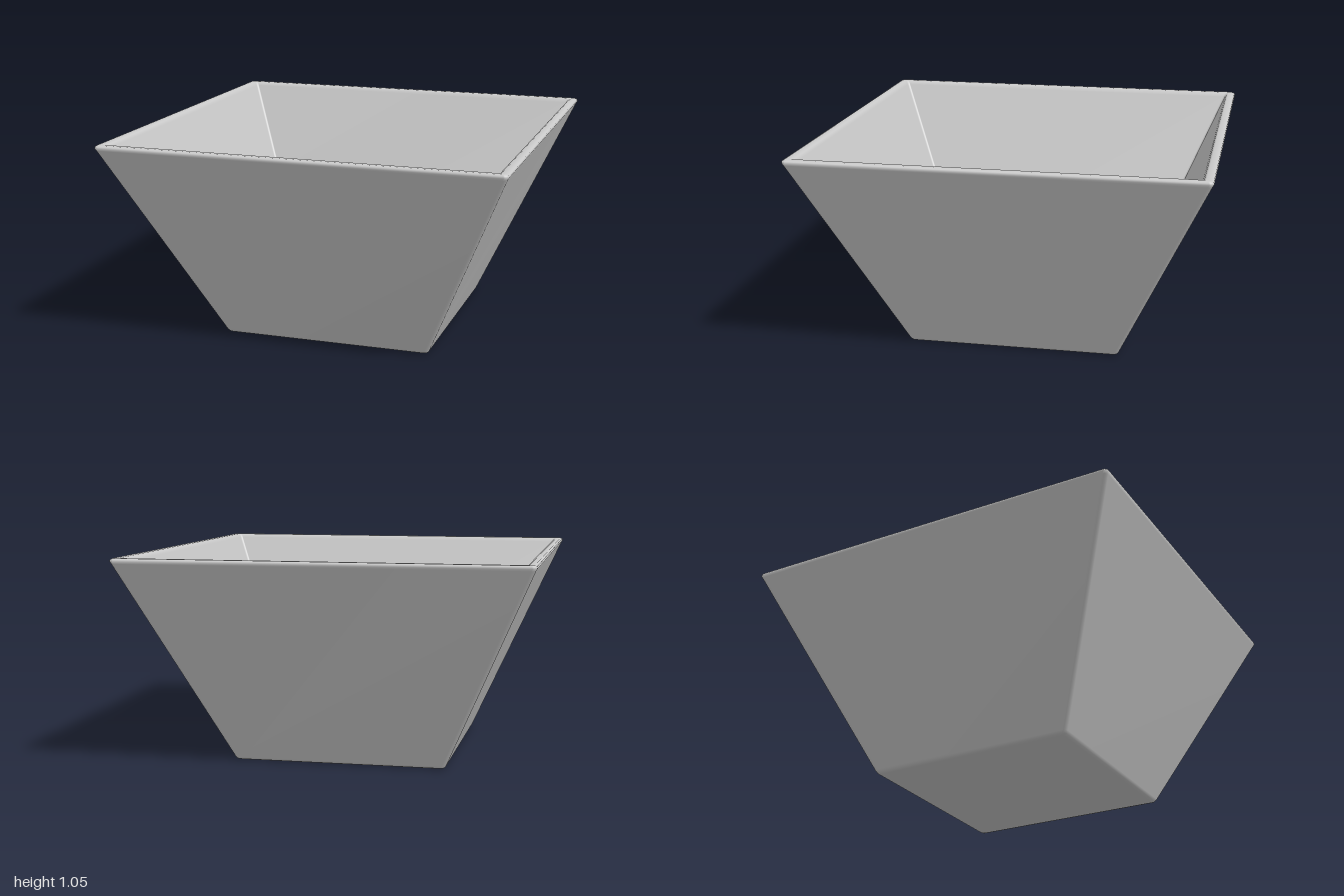
import * as THREE from 'three';

const CORNER_STEPS = 5;

// One square cross-section with rounded corners, as a loop of points
function squareRing(half, y, radius) {
  const r = Math.min(radius, half);
  const points = [];
  for (let corner = 0; corner < 4; corner++) {
    const mid = Math.PI / 4 + corner * Math.PI / 2;
    const cx = Math.sign(Math.cos(mid)) * (half - r);
    const cz = Math.sign(Math.sin(mid)) * (half - r);
    for (let k = 0; k < CORNER_STEPS; k++) {
      const a = (corner + k / (CORNER_STEPS - 1)) * Math.PI / 2;
      points.push(cx + r * Math.cos(a), y, cz + r * Math.sin(a));
    }
  }
  return points;
}

// Skin a run of square cross-sections into one smooth surface
function loftSquares(profile) {
  const n = 4 * CORNER_STEPS;
  const positions = profile.flatMap(([half, y, r]) => squareRing(half, y, r));
  const index = [];
  for (let i = 0; i < profile.length - 1; i++) {
    for (let j = 0; j < n; j++) {
      const a = i * n + j, b = i * n + (j + 1) % n;
      index.push(a, a + n, b, b, a + n, b + n);
    }
  }
  const geometry = new THREE.BufferGeometry();
  geometry.setAttribute('position', new THREE.Float32BufferAttribute(positions, 3));
  geometry.setIndex(index);
  geometry.computeVertexNormals();
  return geometry;
}

export function createModel() {
  const model = new THREE.Group();
  model.name = 'squareBowl';

  // Half width, height and corner radius: underside, outer wall, rim, inner wall, floor
  const profile = [
    [0, 0, 0.02], [0.515, 0, 0.02], [0.531, 0.005, 0.02], [0.54, 0.018, 0.02],
    [0.994, 1.024, 0.02], [1, 1.035, 0.02], [0.998, 1.045, 0.02], [0.988, 1.05, 0.02],
    [0.964, 1.05, 0.012], [0.954, 1.045, 0.012], [0.946, 1.03, 0.012],
    [0.556, 0.152, 0.012], [0.551, 0.143, 0.012], [0.54, 0.14, 0.012], [0, 0.14, 0.012],
  ];
  const material = new THREE.MeshStandardMaterial({ color: 0xcccccc });
  const bowl = new THREE.Mesh(loftSquares(profile), material);
  bowl.name = 'bowl';
  model.add(bowl);
  return model;
}
